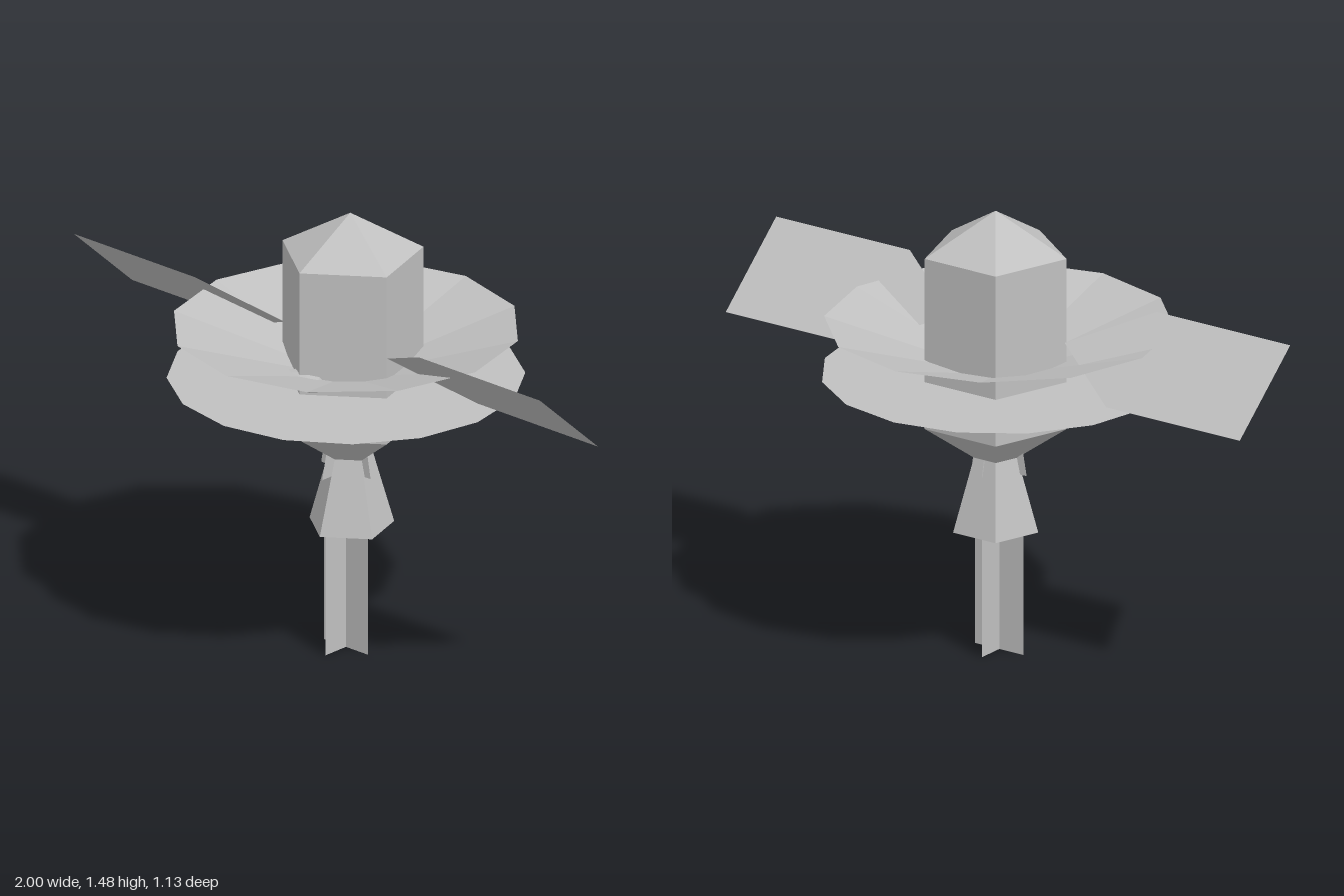
import * as THREE from 'three';

export function createModel() {
  const model = new THREE.Group();
  const grey = new THREE.MeshStandardMaterial({ color: 0xc0c0c0, flatShading: true, side: THREE.DoubleSide });
  grey.name = 'lightGrey';

  const add = (name, geometry, x = 0, y = 0, z = 0) => {
    const mesh = new THREE.Mesh(geometry, grey);
    mesh.name = name;
    mesh.position.set(x, y, z);
    model.add(mesh);
    return mesh;
  };

  // Faceted section between two heights, with a corner facing +z
  const section = (name, r0, y0, r1, y1, sides, z = 0, open = true) =>
    add(name, new THREE.CylinderGeometry(r1, r0, y1 - y0, sides, 1, open), 0, (y0 + y1) / 2, z);

  // Flat sheet from an outline in the xy plane
  const sheet = (name, points) =>
    add(name, new THREE.ShapeGeometry(new THREE.Shape(points.map(([x, y]) => new THREE.Vector2(x, y)))));

  // Five-sided body with pointed roof and pointed underside
  const axis = -0.02;
  section('bodyUnderside', 0, 0.605, 0.235, 0.77, 5, axis);
  section('body', 0.235, 0.77, 0.235, 1.34, 5, axis);
  section('roof', 0.235, 1.34, 0, 1.475, 5, axis);

  // Flared collar below the body
  section('collar', 0.141, 0.412, 0.087, 0.602, 5, axis, false);
  section('collarTop', 0.087, 0.602, 0.06, 0.7, 5, axis);

  // Dish and the flat disc under it
  section('dish', 0.1, 0.953, 0.555, 1.095, 12);
  add('disc', new THREE.CircleGeometry(0.565, 16).rotateX(-Math.PI / 2), 0, 0.927);

  // Mast and neck fins, each made of two crossed sheets
  const mast = [[-0.094, 0], [0.094, 0], [0.094, 0.45], [-0.094, 0.45]];
  sheet('mastAcross', mast);
  sheet('mastAlong', mast).rotation.y = Math.PI / 2;
  sheet('neckFinsAcross', [[-0.106, 0.602], [0.106, 0.602], [0.09, 0.69], [-0.09, 0.69]]);
  sheet('neckFinsAlong', [[-0.11, 0.602], [0.094, 0.602], [0.08, 0.67], [-0.09, 0.69]]).rotation.y = Math.PI / 2;

  // Tilted side panels, tapering to a point at the body
  for (const side of [-1, 1]) {
    const panel = sheet(side > 0 ? 'leftPanel' : 'rightPanel',
      [[0.22, 0], [0.48, -0.12], [1, -0.12], [1, 0.12], [0.48, 0.12]].map(([x, y]) => [side * x, y]));
    const p = panel.geometry.attributes.position;
    for (let i = 0; i < p.count; i++) p.setZ(i, p.getY(i) * 1.125);
    panel.geometry.computeVertexNormals();
    panel.position.set(0, 1.06, 0.046);
  }

  // Small faceted lump on the front of the body
  const lump = new THREE.SphereGeometry(1, 8, 4).scale(0.09, 0.03, 0.048);
  add('frontLump', lump, 0, 0.968, 0.195);

  return model;
}
